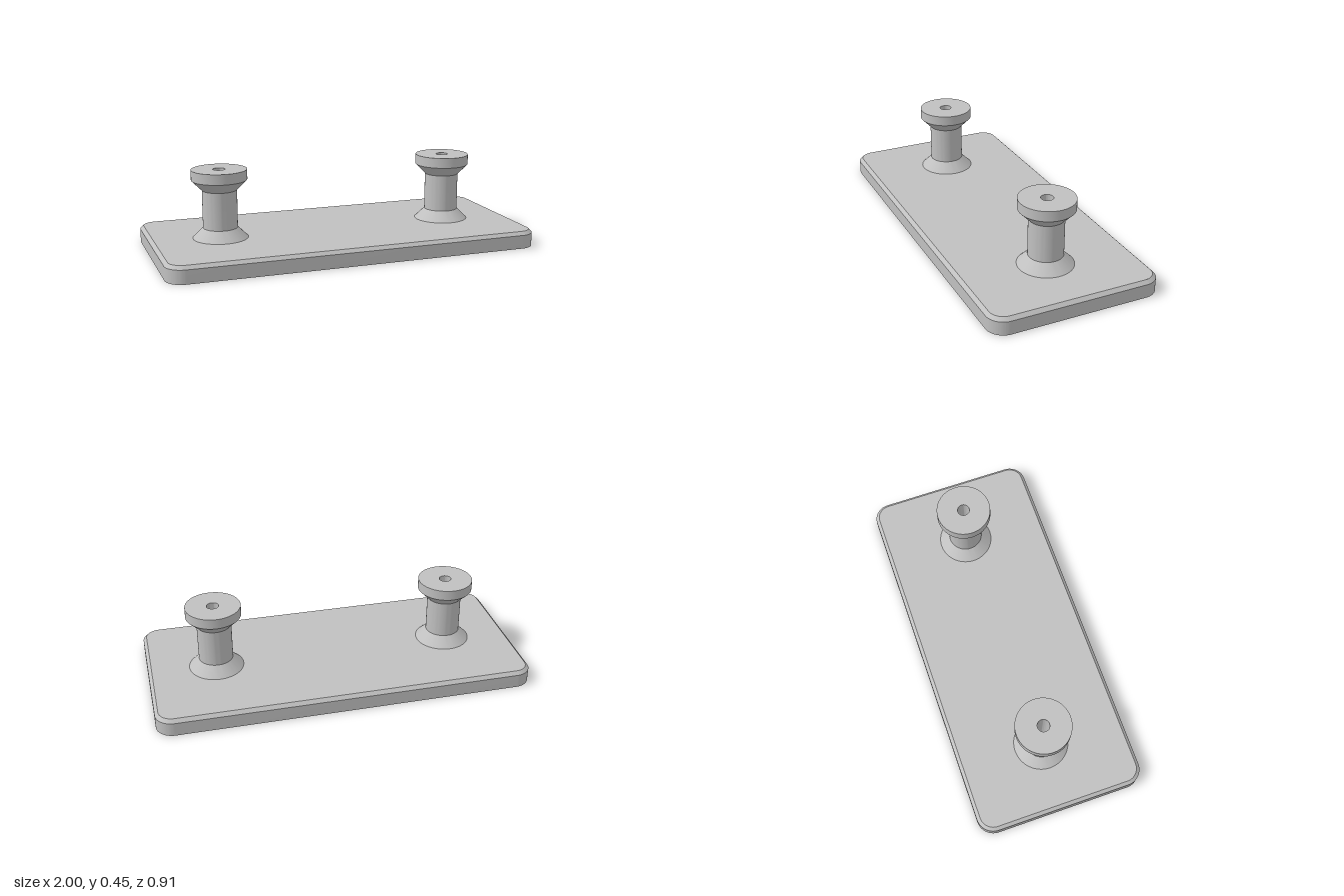
import * as THREE from 'three';
import { toCreasedNormals } from 'three/addons/utils/BufferGeometryUtils.js';

const POST_X = 0.636, PLATE_TOP = 0.091;
const FLANGE_R = 0.1455, BORE_R = 0.0545, SCREW_R = 0.032;

// Rounded rectangle outline of the plate, pulled in by an inset
function plateShape(inset) {
  const r = 0.091 - inset, cx = 1 - 0.091, cz = 0.4545 - 0.091;
  const shape = new THREE.Shape();
  [[1, 1], [-1, 1], [-1, -1], [1, -1]].forEach(([sx, sy], i) =>
    shape.absarc(sx * cx, sy * cz, r, i * Math.PI / 2, (i + 1) * Math.PI / 2, false));
  return shape;
}

// Flat face of the plate with a round opening under each post
function plateFace(inset, holeR) {
  const shape = plateShape(inset);
  for (const s of [-1, 1]) {
    const hole = new THREE.Path();
    hole.absarc(s * POST_X, 0, holeR, 0, Math.PI * 2, true);
    shape.holes.push(hole);
  }
  return new THREE.ShapeGeometry(shape, 16);
}

// Band joining two outlines at two heights
function plateBand(insetA, yA, insetB, yB) {
  const a = plateShape(insetA).getPoints(12), b = plateShape(insetB).getPoints(12);
  const pos = [];
  a.forEach((p, i) => {
    const j = (i + 1) % a.length;
    const p0 = [p.x, yA, -p.y], p1 = [a[j].x, yA, -a[j].y];
    const q0 = [b[i].x, yB, -b[i].y], q1 = [b[j].x, yB, -b[j].y];
    pos.push(...p0, ...p1, ...q1, ...p0, ...q1, ...q0);
  });
  const geo = new THREE.BufferGeometry();
  geo.setAttribute('position', new THREE.Float32BufferAttribute(pos, 3));
  return toCreasedNormals(geo, 0.5);
}

export function createModel() {
  const model = new THREE.Group();
  const grey = new THREE.MeshStandardMaterial({ color: 0xc0c0c0 });
  grey.name = 'grey';
  const add = (parent, name, geo) => {
    const mesh = new THREE.Mesh(geo, grey);
    mesh.name = name;
    parent.add(mesh);
    return mesh;
  };

  // Base plate with a chamfered upper edge
  const plate = new THREE.Group();
  plate.name = 'basePlate';
  model.add(plate);
  add(plate, 'plateSides', plateBand(0, 0, 0, 0.073));
  add(plate, 'plateChamfer', plateBand(0, 0.073, 0.018, PLATE_TOP));
  add(plate, 'plateTop', plateFace(0.018, FLANGE_R).rotateX(-Math.PI / 2).translate(0, PLATE_TOP, 0));
  add(plate, 'plateBottom', plateFace(0, BORE_R).rotateX(Math.PI / 2));

  // Spool-shaped posts: outside going up, then the stepped screw bore going down
  const profile = [
    [FLANGE_R, PLATE_TOP], [0.091, 0.1455], [0.091, 0.3455], [FLANGE_R, 0.4], [FLANGE_R, 0.4545],
    [SCREW_R, 0.4545], [SCREW_R, 0.2], [BORE_R, 0.2], [BORE_R, 0],
  ].map(([r, y]) => new THREE.Vector2(r, y));
  const postGeo = toCreasedNormals(new THREE.LatheGeometry(profile, 64), 0.5);
  for (const [name, s] of [['leftPost', 1], ['rightPost', -1]]) {
    add(model, name, postGeo).position.x = s * POST_X;
  }
  return model;
}
